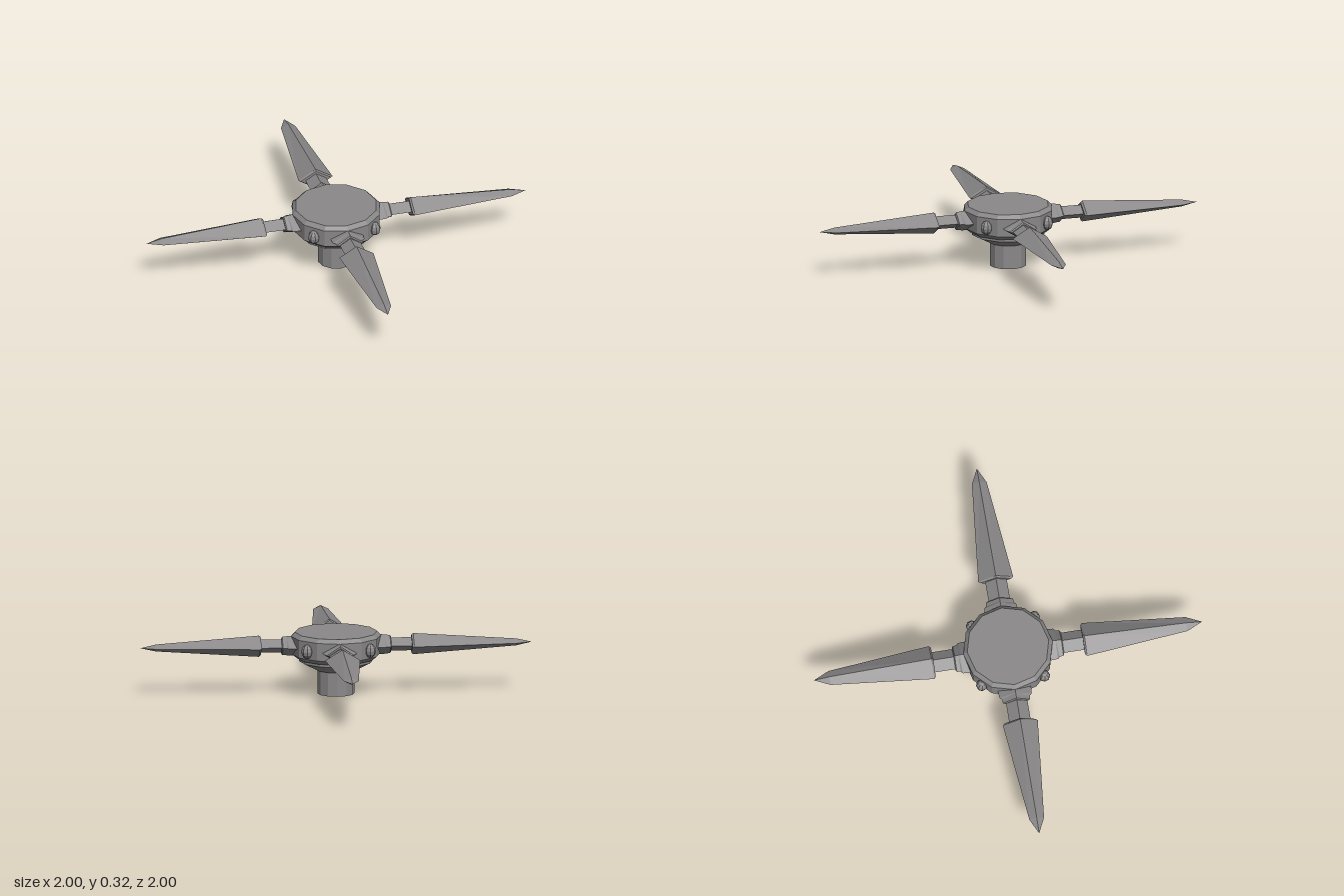
import * as THREE from 'three';

const AXIS_Y = 0.25; // height of the blade centre lines

export function createModel() {
  const model = new THREE.Group();
  model.name = 'bladedSpinner';
  const steel = new THREE.MeshStandardMaterial({ color: 0x8a8888 });
  steel.name = 'grey steel';

  const add = (parent, name, geometry) => {
    const flat = geometry.index ? geometry.toNonIndexed() : geometry;
    flat.computeVertexNormals();
    const mesh = new THREE.Mesh(flat, steel);
    mesh.name = name;
    parent.add(mesh);
    return mesh;
  };

  // Twelve-sided turned part from [radius, height] pairs, bottom to top
  const turned = (profile) =>
    new THREE.LatheGeometry(profile.map(([r, y]) => new THREE.Vector2(r, y)), 12);

  // Diamond section lofted along +z from [distance, halfWidth, halfHeight] stations
  const diamondLoft = (stations) => {
    const corners = [[1, 0], [0, 1], [-1, 0], [0, -1]];
    const positions = [];
    const index = [];
    for (const [z, w, h] of stations) {
      for (const [cx, cy] of corners) positions.push(cx * w, cy * h, z);
    }
    for (let s = 0; s < stations.length - 1; s++) {
      for (let i = 0; i < 4; i++) {
        const a = s * 4 + i, b = s * 4 + (i + 1) % 4;
        index.push(a, b, b + 4, a, b + 4, a + 4);
      }
    }
    const geometry = new THREE.BufferGeometry();
    geometry.setAttribute('position', new THREE.Float32BufferAttribute(positions, 3));
    geometry.setIndex(index);
    return geometry;
  };

  // Central pillar, flared underside and bevelled hub
  add(model, 'pillar', turned([[0, 0], [0.095, 0], [0.095, 0.13]]));
  add(model, 'flare', turned([[0.095, 0.125], [0.105, 0.125], [0.19, 0.17], [0.19, 0.2]]));
  add(model, 'hub', turned([
    [0.15, 0.185], [0.2, 0.185], [0.228, 0.208], [0.23, 0.3], [0.21, 0.32], [0, 0.32],
  ]));

  // Four arms: collar, neck and pointed blade
  for (let i = 0; i < 4; i++) {
    const arm = new THREE.Group();
    arm.name = 'arm' + (i + 1);
    arm.position.y = AXIS_Y;
    arm.rotation.y = i * Math.PI / 2;
    add(arm, 'collar', diamondLoft([
      [0.19, 0.087, 0.053], [0.245, 0.083, 0.051], [0.255, 0.072, 0.049],
      [0.275, 0.07, 0.047], [0.28, 0.06, 0.04], [0.28, 0, 0],
    ]));
    add(arm, 'neck', diamondLoft([[0.27, 0.055, 0.034], [0.39, 0.055, 0.034]]));
    add(arm, 'blade', diamondLoft([
      [0.385, 0, 0], [0.385, 0.08, 0.048], [0.394, 0.09, 0.055],
      [0.92, 0.038, 0.018], [1, 0, 0],
    ]));
    model.add(arm);

    // Faceted stud between neighbouring arms
    const stud = new THREE.Group();
    stud.name = 'stud' + (i + 1);
    stud.rotation.y = Math.PI / 4 + i * Math.PI / 2;
    const knob = add(stud, 'knob', new THREE.SphereGeometry(1, 8, 6));
    knob.scale.set(0.03, 0.036, 0.03);
    knob.position.set(0, AXIS_Y, 0.228);
    model.add(stud);
  }
  return model;
}
